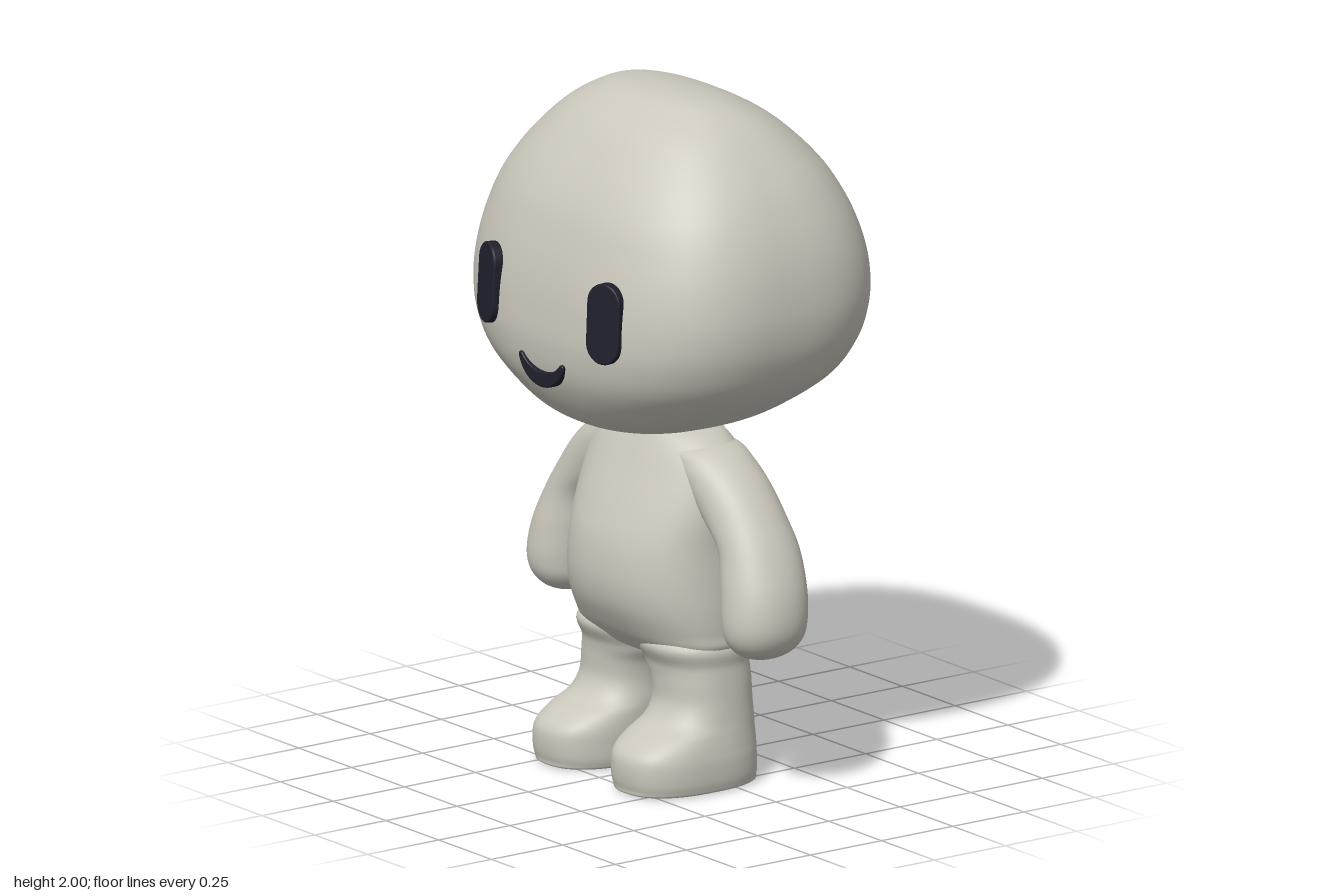
import * as THREE from 'three';
import { mergeVertices } from 'three/addons/utils/BufferGeometryUtils.js';

const skin = new THREE.MeshStandardMaterial({ color: 0xcbc7bc });
skin.name = 'warm grey skin';
const ink = new THREE.MeshStandardMaterial({ color: 0x20202c });
ink.name = 'dark ink';

// Smooth interpolation between rows
const spline = (a, b, c, d, t) =>
  b + 0.5 * t * (c - a + t * (2 * a - 5 * b + 4 * c - d + t * (3 * (b - c) + d - a)));

// Closed skin through level superellipse sections, bottom to top.
// Row: [y, xMin, xMax, zBack, zFront, squareness]; end rows are single points.
function loft(rows, steps = 6, sides = 64) {
  const mirror = ([y, x0, x1, z0, z1, n]) => [y, x1, x0, z1, z0, n];
  const all = [mirror(rows[1]), ...rows, mirror(rows[rows.length - 2])];
  const pos = [], index = [];
  const rings = (rows.length - 1) * steps;
  for (let i = 0; i <= rings; i++) {
    const k = Math.min(Math.floor(i / steps), rows.length - 2);
    const t = i / steps - k;
    const [y, x0, x1, z0, z1, n] = rows[0].map((_, c) =>
      spline(all[k][c], all[k + 1][c], all[k + 2][c], all[k + 3][c], t));
    for (let j = 0; j < sides; j++) {
      const a = (j / sides) * Math.PI * 2;
      const bend = (v) => Math.sign(v) * Math.abs(v) ** (2 / n);
      pos.push(
        (x0 + x1) / 2 + ((x1 - x0) / 2) * bend(Math.cos(a)),
        Math.max(0, y),
        (z0 + z1) / 2 + ((z1 - z0) / 2) * bend(Math.sin(a)));
      if (i < rings) {
        const p = i * sides + j, q = i * sides + ((j + 1) % sides);
        index.push(p, p + sides, q, q, p + sides, q + sides);
      }
    }
  }
  let geo = new THREE.BufferGeometry();
  geo.setAttribute('position', new THREE.Float32BufferAttribute(pos, 3));
  geo.setIndex(index);
  geo = mergeVertices(geo, 1e-5);
  geo.computeVertexNormals();
  return geo;
}

// Rows with equal half widths either side of x = 0
const centred = (rows) => rows.map(([y, x, z0, z1, n]) => [y, -x, x, z0, z1, n]);
// Rows for the left (+1) or right (-1) limb
const sided = (rows, s) =>
  rows.map(([y, a, b, ...rest]) => (s > 0 ? [y, a, b, ...rest] : [y, -b, -a, ...rest]));

const HEAD = centred([
  [1.03, 0, 0.07, 0.07, 2.2],
  [1.034, 0.17, -0.09, 0.23, 2.2],
  [1.05, 0.25, -0.15, 0.305, 2.2],
  [1.1, 0.375, -0.26, 0.375, 2.3],
  [1.2, 0.51, -0.38, 0.435, 2.5],
  [1.3, 0.567, -0.435, 0.455, 2.7],
  [1.4, 0.588, -0.457, 0.452, 2.8],
  [1.5, 0.585, -0.46, 0.439, 2.8],
  [1.6, 0.565, -0.442, 0.415, 2.75],
  [1.7, 0.525, -0.405, 0.38, 2.7],
  [1.8, 0.462, -0.347, 0.322, 2.6],
  [1.9, 0.365, -0.25, 0.24, 2.5],
  [1.96, 0.272, -0.155, 0.16, 2.4],
  [1.99, 0.18, -0.07, 0.1, 2.3],
  [2.0, 0, 0.02, 0.02, 2.2],
]);

const TORSO = centred([
  [0.335, 0, 0.02, 0.02, 2.3],
  [0.36, 0.2, -0.1, 0.125, 2.4],
  [0.4, 0.294, -0.137, 0.175, 2.5],
  [0.45, 0.302, -0.158, 0.212, 2.4],
  [0.52, 0.302, -0.182, 0.247, 2.3],
  [0.6, 0.297, -0.195, 0.26, 2.3],
  [0.7, 0.292, -0.193, 0.25, 2.3],
  [0.8, 0.296, -0.178, 0.214, 2.3],
  [0.9, 0.29, -0.153, 0.168, 2.3],
  [0.96, 0.265, -0.132, 0.14, 2.3],
  [1.0, 0.215, -0.114, 0.12, 2.2],
  [1.02, 0.165, -0.105, 0.11, 2.1],
  [1.04, 0.142, -0.1, 0.105, 2],
  [1.06, 0, 0, 0, 2],
]);

const ARM = [
  [0.415, 0.455, 0.455, 0.02, 0.02, 2],
  [0.43, 0.397, 0.518, -0.055, 0.085, 2],
  [0.47, 0.365, 0.556, -0.1, 0.125, 2.1],
  [0.53, 0.352, 0.57, -0.115, 0.138, 2.1],
  [0.62, 0.335, 0.557, -0.122, 0.13, 2.1],
  [0.72, 0.305, 0.514, -0.125, 0.113, 2.1],
  [0.8, 0.22, 0.465, -0.122, 0.11, 2.1],
  [0.88, 0.13, 0.402, -0.118, 0.112, 2.1],
  [0.94, 0.06, 0.335, -0.11, 0.11, 2.1],
  [0.98, 0.02, 0.262, -0.095, 0.095, 2],
  [1.005, 0.12, 0.12, 0, 0, 2],
];

// Leg with its foot
const LEG = [
  [0, 0.185, 0.185, 0.09, 0.09, 2.4],
  [0, 0.06, 0.312, -0.105, 0.275, 2.4],
  [0.02, 0.037, 0.334, -0.124, 0.3, 2.5],
  [0.08, 0.035, 0.336, -0.125, 0.307, 2.5],
  [0.12, 0.036, 0.33, -0.125, 0.295, 2.5],
  [0.155, 0.037, 0.322, -0.123, 0.25, 2.5],
  [0.19, 0.037, 0.314, -0.122, 0.185, 2.4],
  [0.24, 0.036, 0.308, -0.12, 0.153, 2.3],
  [0.3, 0.024, 0.303, -0.12, 0.15, 2.3],
  [0.35, -0.002, 0.298, -0.12, 0.155, 2.3],
  [0.42, -0.002, 0.29, -0.125, 0.17, 2.3],
  [0.48, 0.15, 0.15, 0.02, 0.02, 2.3],
];

// Upright pill outline for an eye
function eyeShape(w, h) {
  const s = new THREE.Shape();
  s.absarc(0, h / 2 - w / 2, w / 2, 0, Math.PI);
  s.absarc(0, w / 2 - h / 2, w / 2, Math.PI, Math.PI * 2);
  s.closePath();
  return s;
}

// Crescent outline, thick in the middle
function smileShape() {
  const s = new THREE.Shape();
  s.moveTo(-0.1, 0.005);
  s.bezierCurveTo(-0.07, -0.088, 0.07, -0.088, 0.1, 0.005);
  s.quadraticCurveTo(0.101, 0.012, 0.092, 0.009);
  s.bezierCurveTo(0.05, -0.043, -0.05, -0.043, -0.092, 0.009);
  s.quadraticCurveTo(-0.101, 0.012, -0.1, 0.005);
  return s;
}

const raised = (shape, depth) => new THREE.ExtrudeGeometry(shape, {
  depth, curveSegments: 20, bevelThickness: 0.006, bevelSize: 0.005, bevelSegments: 3,
});

export function createModel() {
  const model = new THREE.Group();
  model.name = 'figure';
  const add = (name, geometry, material) => {
    const mesh = new THREE.Mesh(geometry, material);
    mesh.name = name;
    model.add(mesh);
    return mesh;
  };

  add('head', loft(HEAD, 6, 96), skin);
  add('torso', loft(TORSO), skin);

  for (const [side, s] of [['left', 1], ['right', -1]]) {
    add(side + 'Arm', loft(sided(ARM, s)), skin);
    add(side + 'Leg', loft(sided(LEG, s)), skin);
    // Eyes turn with the curve of the face
    const eye = add(side + 'Eye', raised(eyeShape(0.108, 0.225), 0.03), ink);
    eye.position.set(s * 0.268, 1.422, 0.411);
    eye.rotation.set(-0.05, s * 0.26, 0, 'YXZ');
  }

  const smile = add('smile', raised(smileShape(), 0.03), ink);
  smile.position.set(0, 1.25, 0.422);
  return model;
}
